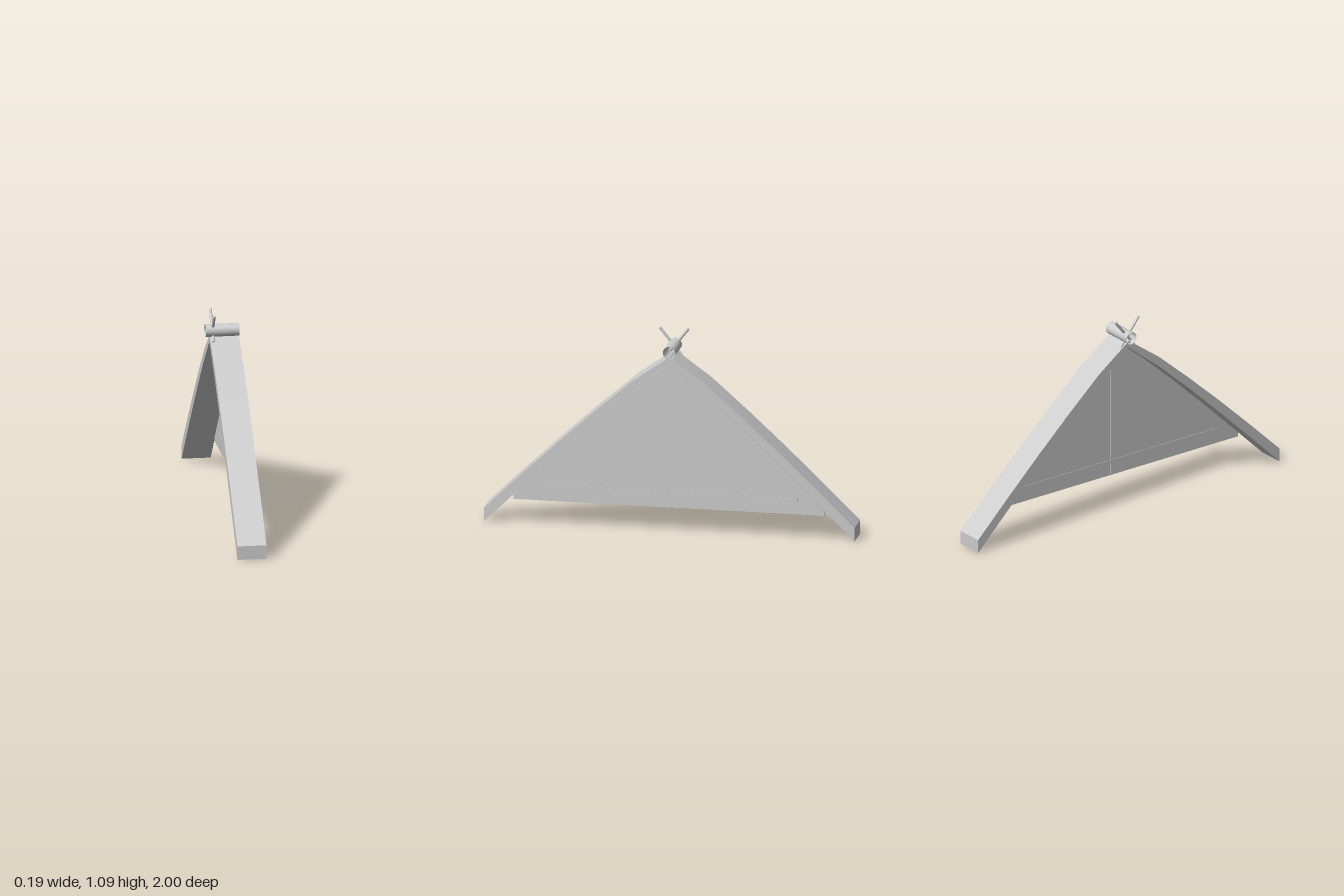
import * as THREE from 'three';
import { toCreasedNormals } from 'three/addons/utils/BufferGeometryUtils.js';

const grey = new THREE.MeshStandardMaterial({ color: 0xcccccc });
const greyOpen = new THREE.MeshStandardMaterial({ color: 0xcccccc, side: THREE.DoubleSide });

// half profiles of the roof as [distance from ridge, height]
const outer = [[0, 0.965], [0.2, 0.82], [0.4, 0.645], [0.6, 0.462], [0.8, 0.272], [1, 0.077]];
const inner = [[0, 0.925], [0.2, 0.765], [0.4, 0.585], [0.6, 0.395], [0.8, 0.2], [1, 0.003]];

// mirror a half profile into a full line running from -z to +z
const mirrored = (half) => [
  ...half.slice(1).reverse().map(([z, y]) => [-z, y]),
  ...half,
];

// extrude a z-y outline along x between x0 and x1
function extrudeX(points, x0, x1) {
  const shape = new THREE.Shape(points.map(([z, y]) => new THREE.Vector2(z, y)));
  const geometry = new THREE.ExtrudeGeometry(shape, { depth: x1 - x0, bevelEnabled: false });
  geometry.rotateY(Math.PI / 2);
  geometry.translate(x0, 0, 0);
  return toCreasedNormals(geometry, 0.5);
}

export function createModel() {
  const group = new THREE.Group();
  const add = (name, geometry, material = grey) => {
    const mesh = new THREE.Mesh(geometry, material);
    mesh.name = name;
    group.add(mesh);
    return mesh;
  };

  // curved roof strip
  add('roof', extrudeX([...mirrored(inner), ...mirrored(outer).reverse()], -0.072, 0.084));

  // gable panel tucked under the roof
  const gable = [...inner.slice(0, 5), [0.84, 0.16]];
  add('gablePanel', extrudeX([[-0.84, 0.137], [0.84, 0.137], ...mirrored(gable).reverse()], 0.081, 0.09));

  // thin cross rail and centre batten, showing on both faces of the panel
  const rail = add('gableRail', new THREE.BoxGeometry(0.014, 0.02, 1.39));
  rail.position.set(0.0855, 0.215, 0);
  const batten = add('gableBatten', new THREE.BoxGeometry(0.013, 0.783, 0.01));
  batten.position.set(0.0855, 0.5285, 0);

  // hollow ridge pole
  const pole = add('ridgePole', new THREE.CylinderGeometry(0.034, 0.034, 0.18, 24, 1, true), greyOpen);
  pole.rotation.z = Math.PI / 2;
  pole.position.set(-0.005, 0.987, 0);

  // pair of crossed finial sticks
  for (const side of [-1, 1]) {
    const top = new THREE.Vector3(-0.056, 1.085, side * 0.077);
    const bottom = new THREE.Vector3(-0.056, 0.934, side * -0.044);
    const stick = add(
      side > 0 ? 'frontFinialStick' : 'backFinialStick',
      new THREE.CylinderGeometry(0.0075, 0.0075, top.distanceTo(bottom), 10)
    );
    stick.position.copy(top).add(bottom).multiplyScalar(0.5);
    stick.quaternion.setFromUnitVectors(new THREE.Vector3(0, 1, 0), top.sub(bottom).normalize());
  }

  return group;
}
